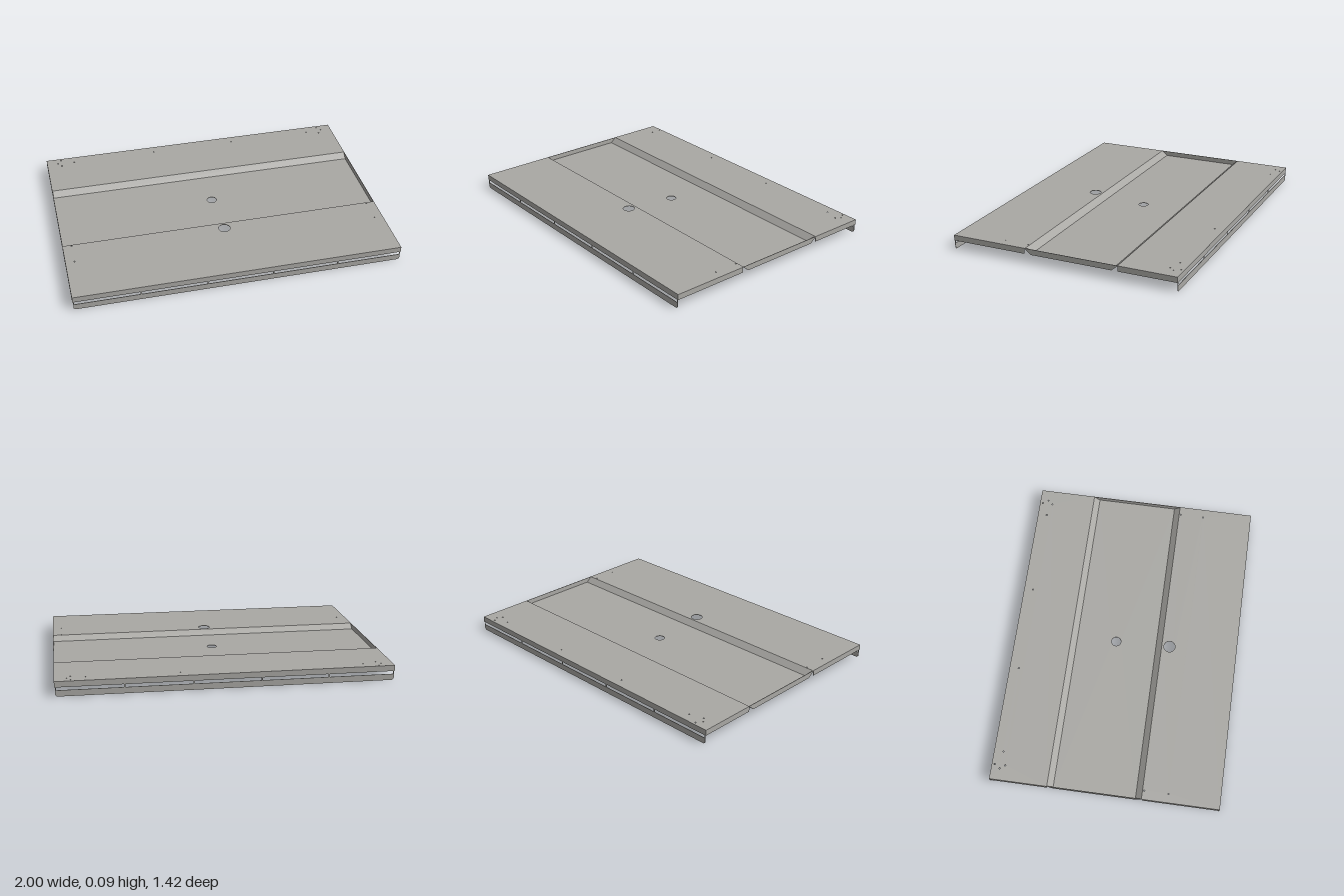
import * as THREE from 'three';

const T = 0.003; // sheet thickness
const TOP = 0.09, LOW = 0.056; // upper and recessed levels
const HALF = 1, FRONT = 0.708, BACK = -0.708;

const polygon = (pts) => new THREE.Shape(pts.map(([x, y]) => new THREE.Vector2(x, y)));
const rect = (x0, y0, x1, y1) => polygon([[x0, y0], [x1, y0], [x1, y1], [x0, y1]]);
const extrude = (shape, depth) =>
  new THREE.ExtrudeGeometry(shape, { depth, bevelEnabled: false, curveSegments: 24 });

export function createModel() {
  const group = new THREE.Group();
  const steel = new THREE.MeshStandardMaterial({ color: 0xa9a8a4 });
  steel.name = 'greySteel';

  const add = (name, geometry) => {
    const mesh = new THREE.Mesh(geometry, steel);
    mesh.name = name;
    group.add(mesh);
    return mesh;
  };

  // Horizontal sheet whose upper face is at y, with round holes [x, z, radius]
  const panel = (name, zBack, zFront, y, holes) => {
    const shape = rect(-HALF, -zFront, HALF, -zBack);
    for (const [x, z, r] of holes) {
      const hole = new THREE.Path();
      hole.absarc(x, -z, r, 0, Math.PI * 2, true);
      shape.holes.push(hole);
    }
    add(name, extrude(shape, T).rotateX(-Math.PI / 2).translate(0, y - T, 0));
  };
  const mirrored = (list) => list.flatMap(([x, z]) => [[x, z, 0.004], [-x, z, 0.004]]);

  panel('frontPanel', 0.23, FRONT, TOP,
    [[0, 0.28, 0.036], ...mirrored([[0.945, 0.24], [0.945, 0.39]])]);
  panel('recessedPanel', -0.315, 0.193, LOW + T, [[0, -0.064, 0.03]]);
  panel('backPanel', BACK, -0.352, TOP,
    mirrored([[0.928, -0.655], [0.905, -0.69], [0.905, -0.625], [0.82, -0.65], [0.273, -0.65]]));

  // Vertical or sloping sheet drawn as a (z, y) profile and run along x
  const alongX = (name, pts, x0, width) =>
    add(name, extrude(polygon(pts.map(([z, y]) => [-z, y])), width)
      .rotateY(Math.PI / 2).translate(x0, 0, 0));

  // Slopes joining the recess to the upper panels
  const slope = (name, zLow, zHigh) => alongX(name,
    [[zLow, LOW], [zHigh, TOP - T], [zHigh, TOP], [zLow, LOW + T]], -HALF, 2 * HALF);
  slope('frontSlope', 0.193, 0.23);
  slope('backSlope', -0.315, -0.352);

  // Side flanges: folded down on the upper panels, up on the recess
  for (const [side, x0] of [['left', HALF - T], ['right', -HALF]]) {
    alongX(side + 'FrontFlange', [[0.234, LOW], [FRONT, LOW], [FRONT, TOP], [0.234, TOP]], x0, T);
    alongX(side + 'BackFlange', [[BACK, LOW], [-0.352, LOW], [-0.352, TOP], [BACK, TOP]], x0, T);
    alongX(side + 'RecessFlange', [[-0.315, LOW], [0.193, LOW], [0.23, TOP], [-0.352, TOP]], x0, T);
  }

  // Slotted end flanges with clipped lower corners
  const e = 0.995, c = 0.01;
  for (const [name, z] of [['frontSlottedFlange', FRONT - T], ['backSlottedFlange', BACK]]) {
    const shape = polygon([
      [-e + c, 0], [e - c, 0], [e, c], [e, LOW], [HALF, LOW], [HALF, TOP],
      [-HALF, TOP], [-HALF, LOW], [-e, LOW], [-e, c],
    ]);
    for (let i = -2; i <= 2; i++) {
      const x0 = Math.max(i * 0.4 - 0.196, -0.99), x1 = Math.min(i * 0.4 + 0.196, 0.99);
      shape.holes.push(rect(x0, 0.037, x1, 0.055));
    }
    add(name, extrude(shape, T).translate(0, 0, z));
  }

  return group;
}
